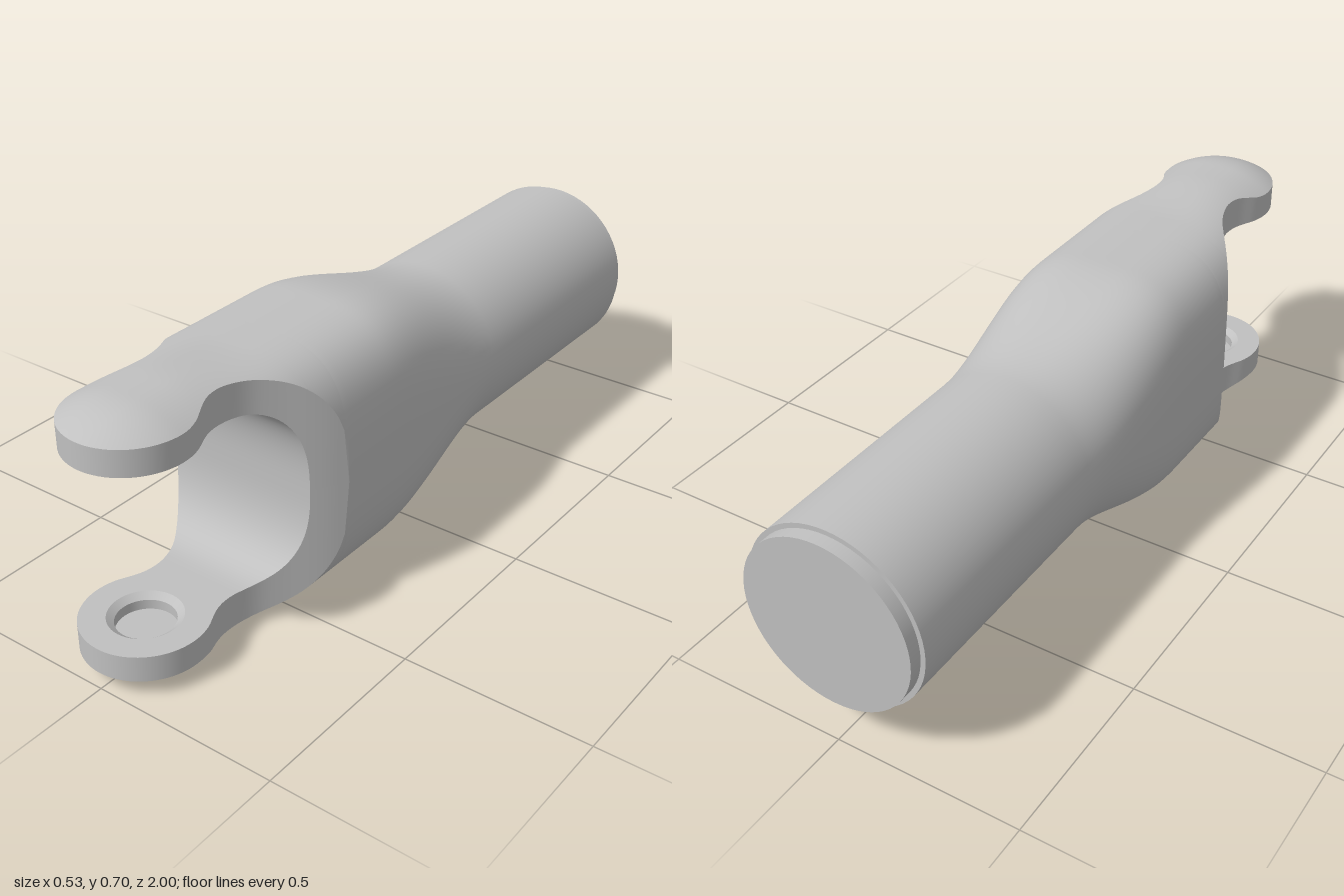
import * as THREE from 'three';

const CY = 0.3525;            // height of the long axis
const N = 64;                 // points round the body
const POWER = 3.2;            // squareness of the swollen end
const HALF_W = 0.263, HALF_H = 0.335, ROD_R = 0.245;
const EAR_Z = 0.842, EAR_R = 0.158;
const MOUTH_Z = 0.4, SLOT_Z = 0.485, FLAT_Z = 0.65, GAP = 0.2375;

const steel = new THREE.MeshStandardMaterial({ color: 0xc0c0c0, side: THREE.DoubleSide });
steel.name = 'plain grey';

const signedPow = (v, p) => Math.sign(v) * Math.pow(Math.abs(v), p);
const smooth = THREE.MathUtils.smoothstep;

// Skin over rows of points, each row a cross-section
function skin(rows, closed = false) {
  const cols = rows[0].length, pos = rows.flat(2), index = [];
  for (let r = 0; r < rows.length - 1; r++) {
    for (let i = 0; i < (closed ? cols : cols - 1); i++) {
      const j = (i + 1) % cols;
      const a = r * cols + i, b = r * cols + j, c = a + cols, d = b + cols;
      index.push(a, b, c, b, d, c);
    }
  }
  const g = new THREE.BufferGeometry();
  g.setAttribute('position', new THREE.Float32BufferAttribute(pos, 3));
  g.setIndex(index);
  g.computeVertexNormals();
  return g;
}

function addMesh(parent, name, geometry) {
  const m = new THREE.Mesh(geometry, steel);
  m.name = name;
  parent.add(m);
  return m;
}

// Round rod swelling into a rounded rectangle
function bodyRing(z) {
  const t = smooth(z, -0.28, 0.2);
  const w = THREE.MathUtils.lerp(ROD_R, HALF_W, smooth(z, -0.3, 0.15));
  const h = THREE.MathUtils.lerp(ROD_R, HALF_H, t);
  const n = THREE.MathUtils.lerp(2, POWER, t);
  return Array.from({ length: N }, (_, i) => {
    const a = (i / N) * Math.PI * 2;
    return [w * signedPow(Math.cos(a), 2 / n), h * signedPow(Math.sin(a), 2 / n), z];
  });
}

// Plan outline of the jaws: taper, neck, then round ear
const neck = new THREE.SplineCurve([
  [0.4, 0.263], [0.44, 0.241], [0.48, 0.215], [0.55, 0.166], [0.6, 0.136],
  [0.65, 0.119], [0.69, 0.115], [0.73, 0.122], [0.78, 0.1453],
].map(([z, w]) => new THREE.Vector2(z, w))).getPoints(200);

function halfWidth(z) {
  if (z >= 0.78) return Math.sqrt(Math.max(0, EAR_R ** 2 - (z - EAR_Z) ** 2));
  const k = neck.findIndex((p) => p.x >= z);
  if (k <= 0) return HALF_W;
  const p = neck[k - 1], q = neck[k];
  return p.y + ((q.y - p.y) * (z - p.x)) / (q.x - p.x);
}

// Half height of the slot between the jaws
function slotHeight(z) {
  if (z <= SLOT_Z) return 0;
  if (z >= FLAT_Z) return GAP;
  const t = (FLAT_Z - z) / (FLAT_Z - SLOT_Z);
  return GAP * Math.pow(1 - Math.pow(t, 2.6), 1 / 2.6);
}

// Outer face of the jaw: body section blending into the domed ear
function outerHeight(x, z) {
  const f = Math.min(1, Math.abs(x) / HALF_W);
  const section = HALF_H * Math.pow(1 - Math.pow(f, POWER), 1 / POWER);
  const r = Math.hypot(x, Math.max(0, z - EAR_Z));
  const dome = 0.352 - 0.046 * Math.pow(r / EAR_R, 2.2);
  return THREE.MathUtils.lerp(section, dome, smooth(z, 0.5, 0.76));
}

function makeJaw(name) {
  const jaw = new THREE.Group();
  jaw.name = name;

  // stations along the jaw, dense where the slot curves
  const zs = [];
  for (let k = 0; k < 8; k++) zs.push(MOUTH_Z + ((SLOT_Z - MOUTH_Z) * k) / 8);
  for (let k = 0; k < 24; k++) zs.push(SLOT_Z + (FLAT_Z - SLOT_Z) * Math.pow(k / 24, 2.6));
  for (let k = 0; k < 10; k++) zs.push(FLAT_Z + (0.78 - FLAT_Z) * (k / 10));
  const a0 = Math.asin((0.78 - EAR_Z) / EAR_R);
  for (let k = 0; k <= 24; k++) zs.push(EAR_Z + EAR_R * Math.sin(a0 + (Math.PI / 2 - a0) * (k / 24)));

  addMesh(jaw, 'jawOuterFace', skin(zs.map((z) =>
    Array.from({ length: N / 2 + 1 }, (_, i) => {
      const x = halfWidth(z) * signedPow(Math.cos((i / N) * Math.PI * 2), 2 / POWER);
      return [x, outerHeight(x, z), z];
    }))));

  for (const s of [1, -1]) {
    addMesh(jaw, s > 0 ? 'jawLeftEdge' : 'jawRightEdge', skin(zs.map((z) => {
      const w = halfWidth(z);
      const edge = [[s * w, slotHeight(z), z], [s * w, outerHeight(w, z), z]];
      return s > 0 ? edge : edge.reverse();
    })));
  }

  // curved floor of the slot
  const slotZs = zs.filter((z) => z >= SLOT_Z - 1e-6 && z <= FLAT_Z + 1e-6);
  addMesh(jaw, 'slotFloor', skin(slotZs.map((z) =>
    [-1, 0, 1].map((s) => [s * halfWidth(z), slotHeight(z), z]))));

  // flat inner face with the pin socket opening
  const flatZs = zs.filter((z) => z >= FLAT_Z - 1e-6);
  const right = flatZs.map((z) => new THREE.Vector2(halfWidth(z), z));
  const left = flatZs.slice(0, -1).reverse().map((z) => new THREE.Vector2(-halfWidth(z), z));
  const face = new THREE.Shape([...right, ...left]);
  face.holes.push(new THREE.Path().absarc(0, EAR_Z, 0.092, 0, Math.PI * 2, true));
  const faceGeo = new THREE.ShapeGeometry(face, 24);
  faceGeo.rotateX(Math.PI / 2);
  addMesh(jaw, 'jawInnerFace', faceGeo).position.y = GAP;

  // blind pin socket: chamfer, wall and floor
  const steps = [[0.092, 0], [0.074, 0.014], [0.074, 0.04], [0, 0.04]];
  for (let k = 0; k < 3; k++) {
    const pts = [steps[k], steps[k + 1]].map(([r, y]) => new THREE.Vector2(r, y));
    addMesh(jaw, ['socketChamfer', 'socketWall', 'socketFloor'][k],
      new THREE.LatheGeometry(pts, 48)).position.set(0, GAP, EAR_Z);
  }
  return jaw;
}

export function createModel() {
  const model = new THREE.Group();
  model.name = 'forkEnd';
  const fork = new THREE.Group();
  fork.name = 'fork';
  fork.position.y = CY;
  model.add(fork);

  // shaft and swollen body
  const bodyZs = [-0.965, -0.6, -0.32];
  for (let k = 0; k <= 32; k++) bodyZs.push(-0.28 + (0.68 * k) / 32);
  addMesh(fork, 'body', skin(bodyZs.map(bodyRing), true));

  // shoulder and stepped end of the shaft
  const shoulder = addMesh(fork, 'shaftShoulder', new THREE.CircleGeometry(ROD_R, N));
  shoulder.rotation.y = Math.PI;
  shoulder.position.z = -0.965;
  const spigot = addMesh(fork, 'shaftEnd', new THREE.CylinderGeometry(0.232, 0.232, 0.04, N));
  spigot.rotation.x = Math.PI / 2;
  spigot.position.z = -0.98;

  // two matching jaws
  fork.add(makeJaw('upperJaw'));
  const lower = makeJaw('lowerJaw');
  lower.rotation.z = Math.PI;
  fork.add(lower);
  return model;
}
